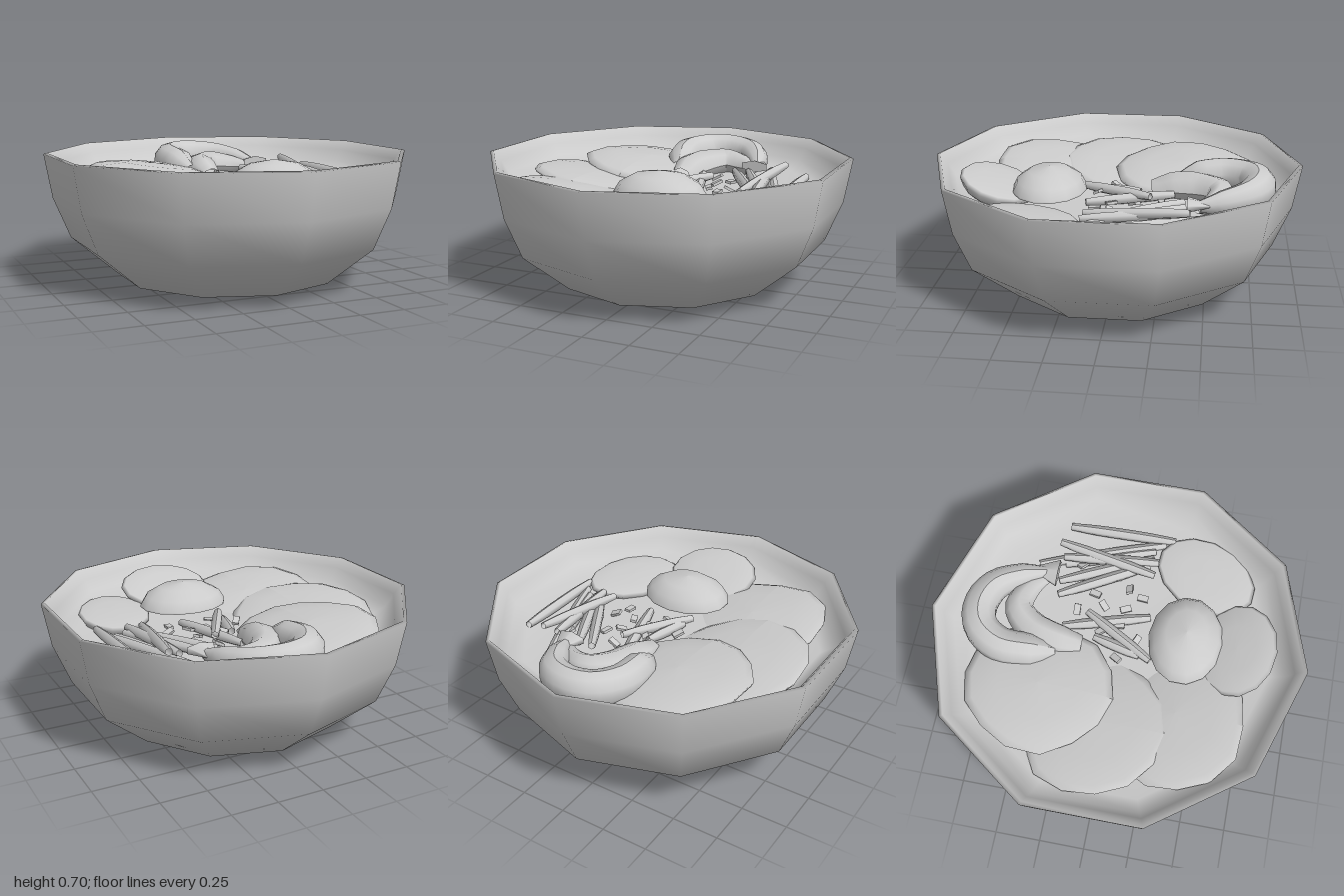
import * as THREE from 'three';

const mat = new THREE.MeshStandardMaterial({ color: 0xcccccc, side: THREE.DoubleSide });
const v3 = (p) => new THREE.Vector3(...p);

function add(parent, name, geo, pos = [0, 0, 0], rot = [0, 0, 0], scale = [1, 1, 1]) {
  const m = new THREE.Mesh(geo, mat);
  m.name = name;
  m.position.set(...pos);
  m.rotation.set(...rot);
  m.scale.set(...scale);
  parent.add(m);
  return m;
}

function lathe(points, sides) {
  return new THREE.LatheGeometry(points.map((p) => new THREE.Vector2(...p)), sides);
}

// Tube whose radius follows a list of values along its length
function taperedTube(points, radii, segs, sides) {
  const curve = new THREE.CatmullRomCurve3(points.map(v3));
  const geo = new THREE.TubeGeometry(curve, segs, 1, sides);
  const pos = geo.attributes.position;
  const v = new THREE.Vector3();
  for (let i = 0; i <= segs; i++) {
    const c = curve.getPointAt(i / segs);
    const f = (i / segs) * (radii.length - 1);
    const k = Math.min(Math.floor(f), radii.length - 2);
    const r = THREE.MathUtils.lerp(radii[k], radii[k + 1], f - k);
    for (let j = 0; j <= sides; j++) {
      const n = i * (sides + 1) + j;
      v.fromBufferAttribute(pos, n).sub(c).multiplyScalar(r).add(c);
      pos.setXYZ(n, v.x, v.y, v.z);
    }
  }
  geo.computeVertexNormals();
  return geo;
}

// Domed slice with a slightly uneven outline
function sliceGeometry(seed) {
  const geo = lathe([[0, -0.05], [0.8, -0.045], [0.97, -0.02], [1, 0.005], [0.9, 0.03], [0.55, 0.055], [0, 0.065]], 14);
  const pos = geo.attributes.position;
  for (let i = 0; i < pos.count; i++) {
    const a = Math.atan2(pos.getZ(i), pos.getX(i));
    const k = 1 + 0.03 * Math.sin(3 * a + seed) + 0.02 * Math.cos(5 * a + 2 * seed);
    pos.setX(i, pos.getX(i) * k);
    pos.setZ(i, pos.getZ(i) * k);
  }
  geo.computeVertexNormals();
  return geo;
}

export function createModel() {
  const g = new THREE.Group();
  g.name = 'soupBowl';

  // Ten-sided bowl: outside, rim, then the inner wall running softly into the broth
  add(g, 'bowlAndBroth', lathe([
    [0, 0], [0.61, 0.03], [0.865, 0.24], [0.957, 0.46], [1, 0.7],
    [0.98, 0.705], [0.94, 0.65], [0.9, 0.585], [0.82, 0.535], [0.55, 0.515], [0, 0.51],
  ], 10));

  // Overlapping slices on the right-hand side of the bowl, sloping to the middle
  const slices = [
    [[-0.31, 0.525, 0.37], [0.42, 0.8, 0.37], [-0.14, 0, -0.13]],
    [[-0.43, 0.53, -0.04], [0.4, 0.7, 0.385], [-0.1, 0, -0.13]],
    [[-0.29, 0.56, -0.37], [0.37, 0.85, 0.4], [0, 0, -0.12]],
  ];
  slices.forEach(([p, s, r], i) => add(g, 'slice' + (i + 1), sliceGeometry(i * 2 + 1), p, r, s));

  // Egg halves: one dome up, two cut face up and leaning on the wall
  const dome = lathe([[1, -0.06], [1, 0.02], [0.87, 0.45], [0.55, 0.82], [0, 1]], 14);
  const half = lathe([[0, -1], [0.55, -0.8], [0.87, -0.4], [1, -0.04], [0.93, 0.1], [0.5, 0.18], [0, 0.2]], 14);
  add(g, 'eggDome', dome, [0.11, 0.57, 0.35], [0, 0, 0], [0.25, 0.12, 0.2]);
  add(g, 'eggHalfFront', half, [0.1, 0.585, 0.63], [-0.32, 0, 0], [0.265, 0.12, 0.215]);
  add(g, 'eggHalfSide', half, [0.51, 0.55, 0.4], [0, -0.4, 0.1], [0.2, 0.1, 0.29]);

  // Two curled shrimps with a flared tail
  const shrimp = new THREE.Group();
  shrimp.name = 'shrimps';
  g.add(shrimp);
  add(shrimp, 'upperShrimp', taperedTube([
    [-0.08, 0.56, -0.33], [-0.11, 0.59, -0.48], [-0.11, 0.6, -0.62], [-0.03, 0.605, -0.74],
    [0.09, 0.605, -0.77], [0.22, 0.6, -0.72], [0.31, 0.59, -0.59], [0.36, 0.58, -0.46],
  ], [0.04, 0.09, 0.095, 0.095, 0.095, 0.09, 0.08, 0.065, 0.03], 24, 10));
  add(shrimp, 'lowerShrimp', taperedTube([
    [-0.01, 0.53, -0.2], [-0.01, 0.55, -0.33], [0.03, 0.56, -0.47], [0.13, 0.57, -0.57],
    [0.25, 0.56, -0.54], [0.34, 0.56, -0.45],
  ], [0.06, 0.09, 0.095, 0.085, 0.075, 0.06, 0.025], 20, 8));
  add(shrimp, 'tail', new THREE.CylinderGeometry(0.025, 0.085, 0.12, 6),
    [0.36, 0.59, -0.46], [-Math.PI / 2, 0, 0], [1, 1, 0.4]);

  // Sprouts: thin sticks as [x, y, z] from back end to front end
  const sprouts = [
    [[0.25, 0.56, -0.38], [0.52, 0.54, 0.08]],
    [[0.33, 0.56, -0.39], [0.57, 0.54, 0.1]],
    [[0.42, 0.54, -0.52], [0.67, 0.53, 0.15]],
    [[0.45, 0.53, -0.38], [0.62, 0.53, 0.1]],
    [[0.54, 0.61, -0.42], [0.46, 0.56, 0.12]],
    [[0.47, 0.58, -0.39], [0.54, 0.56, 0.13]],
    [[0.67, 0.56, -0.39], [0.69, 0.55, 0.2]],
    [[0.18, 0.56, -0.2], [-0.03, 0.54, 0.18]],
    [[0.08, 0.54, -0.32], [0.22, 0.53, 0.14]],
    [[0.05, 0.54, -0.14], [-0.01, 0.53, 0.12]],
  ];
  const sproutGroup = new THREE.Group();
  sproutGroup.name = 'sprouts';
  g.add(sproutGroup);
  sprouts.forEach(([a, b]) => {
    const mid = a.map((v, i) => (v + b[i]) / 2);
    add(sproutGroup, 'sprout', taperedTube([a, mid, b], [0.02, 0.028, 0.03, 0.03, 0.028, 0.02], 8, 6));
  });

  // Chopped garnish scattered on the broth
  const bits = [[0.19, -0.26], [0.3, -0.18], [0.46, -0.28], [0.24, -0.12], [0.24, 0], [0.36, 0],
    [0.32, 0.08], [0.07, 0.09], [-0.05, 0], [0.09, -0.11], [0.43, -0.08], [0.14, -0.02]];
  const garnish = new THREE.Group();
  garnish.name = 'garnish';
  g.add(garnish);
  const bit = new THREE.BoxGeometry(0.06, 0.015, 0.035);
  bits.forEach(([x, z], i) => add(garnish, 'garnishBit', bit, [x, 0.54, z],
    [0.5 * Math.sin(i * 2), i * 1.3, 0.5 * Math.cos(i * 3)]));

  return g;
}
